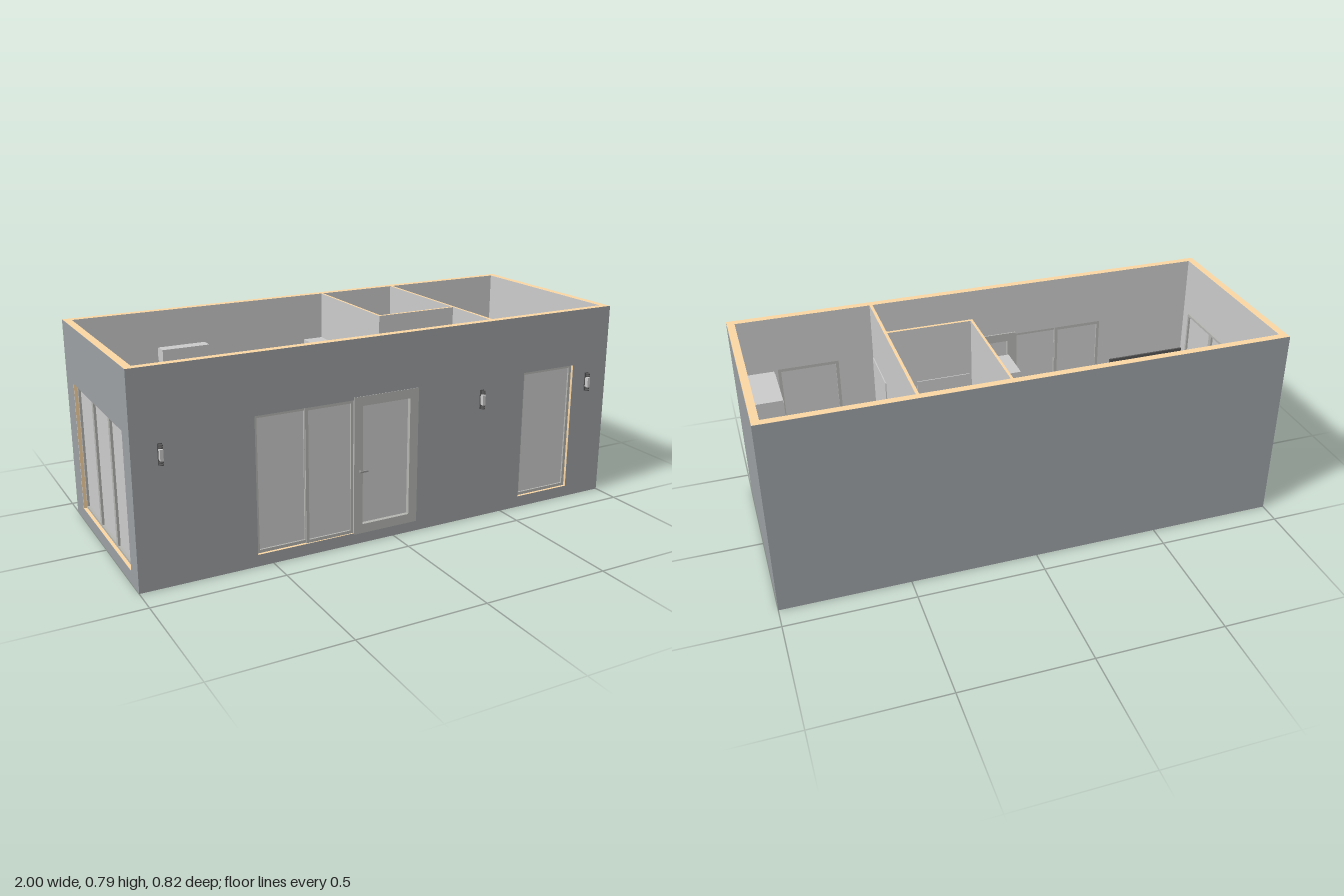
import * as THREE from 'three';
import { RoundedBoxGeometry } from 'three/addons/geometries/RoundedBoxGeometry.js';

const mat = (color, side = THREE.FrontSide) => new THREE.MeshStandardMaterial({ color, side });
const grey = mat(0xcccccc), dark = mat(0x979797), cladding = mat(0x9ca0a3);
const timber = mat(0xfbd7a4), flooring = mat(0xe6d1b4), frameGrey = mat(0xb5b6b2), black = mat(0x555555);
const FLOOR = 0.04, TOP = 0.79;

function add(parent, name, geo, m = grey, x = 0, y = 0, z = 0) {
  const mesh = new THREE.Mesh(geo, m);
  mesh.name = name;
  mesh.position.set(x, y, z);
  parent.add(mesh);
  return mesh;
}

function group(parent, name) {
  const g = new THREE.Group();
  g.name = name;
  parent.add(g);
  return g;
}

// Box given by its limits; r > 0 rounds the edges
function box(parent, name, [x0, x1], [y0, y1], [z0, z1], m = grey, r = 0) {
  const s = [x1 - x0, y1 - y0, z1 - z0];
  const geo = r ? new RoundedBoxGeometry(...s, 3, r) : new THREE.BoxGeometry(...s);
  return add(parent, name, geo, m, (x0 + x1) / 2, (y0 + y1) / 2, (z0 + z1) / 2);
}

function rectShape(x0, x1, y0, y1, holes = []) {
  const loop = (P, a, b, c, d) => new P([[a, c], [b, c], [b, d], [a, d]].map(p => new THREE.Vector2(...p)));
  const s = loop(THREE.Shape, x0, x1, y0, y1);
  s.holes = holes.map(h => loop(THREE.Path, ...h));
  return s;
}

const extrude = (shape, depth) => new THREE.ExtrudeGeometry(shape, { depth, bevelEnabled: false, curveSegments: 16 });

// Outer wall: timber core with grey lining and a cladding skin on local +z
function wall(parent, name, width, coreWidth, holes, x, z, turn) {
  const g = group(parent, name);
  const core = rectShape(-coreWidth / 2, coreWidth / 2, 0, TOP, holes);
  add(g, 'wallCore', extrude(core, 0.029), [grey, timber], 0, 0, -0.03);
  add(g, 'wallCladding', new THREE.ShapeGeometry(rectShape(-width / 2, width / 2, 0, TOP, holes)), cladding);
  g.position.set(x, 0, z);
  g.rotation.y = turn;
  return g;
}

// Framed pane in the local xy plane
function glazing(parent, name, [x0, x1, y0, y1], border, z0, z1) {
  const g = group(parent, name);
  const inner = [x0 + border, x1 - border, y0 + border, y1 - border];
  add(g, 'frame', extrude(rectShape(x0, x1, y0, y1, [inner]), z1 - z0), frameGrey, 0, 0, z0);
  const mid = (z0 + z1) / 2;
  box(g, 'pane', inner.slice(0, 2), inner.slice(2), [mid - 0.002, mid + 0.002]);
}

// Lever handle on a door facing local +z
function lever(parent, x, y, z, dir, out = 1) {
  const g = group(parent, 'doorHandle');
  g.position.set(x, y, z);
  g.scale.set(dir, 1, out);
  box(g, 'stem', [-0.003, 0.003], [-0.003, 0.003], [0, 0.014], dark);
  box(g, 'grip', [-0.003, 0.03], [-0.003, 0.003], [0.01, 0.014], dark);
}

function buildShell(root) {
  const s = group(root, 'shell');
  const entry = [-0.56, 0.1, 0.045, 0.565], side = [0.585, 0.83, 0.045, 0.565], end = [-0.3, 0.32, 0.05, 0.56];
  const front = wall(s, 'frontWall', 2, 1.998, [entry, side], 0, 0.39, 0);
  wall(s, 'backWall', 2, 1.998, [], 0, -0.41, Math.PI);
  wall(s, 'rightWall', 0.8, 0.74, [], 1, -0.01, Math.PI / 2);
  const left = wall(s, 'leftWall', 0.8, 0.74, [end], -1, -0.01, -Math.PI / 2);
  box(s, 'floorSlab', [-0.97, 0.97], [0.004, 0.032], [-0.38, 0.36], cladding);
  box(s, 'floorBoards', [-0.97, 0.97], [0.032, FLOOR], [-0.38, 0.36], flooring);

  // Windows and entrance door
  glazing(front, 'window', [-0.56, -0.355, 0.045, 0.565], 0.012, -0.03, -0.012);
  glazing(front, 'window', [-0.365, -0.17, 0.045, 0.565], 0.012, -0.024, -0.006);
  glazing(front, 'bedroomWindow', side, 0.012, -0.03, -0.012);
  for (let i = 0; i < 3; i++) {
    const w = 0.62 / 3, a = -0.3 + i * w;
    glazing(left, 'endWindow', [a, a + w, 0.05, 0.56], 0.01, -0.036, -0.014);
  }
  glazing(front, 'entranceDoor', [-0.172, 0.1, 0.04, 0.575], 0.036, -0.036, 0.002);
  lever(front, -0.15, 0.29, 0.002, 1);
  lever(front, -0.15, 0.29, -0.036, 1, -1);

  // Wall lamps
  for (const x of [-0.9, 0.385, 0.9]) {
    const lamp = group(front, 'wallLamp');
    lamp.position.set(x, 0.488, 0);
    box(lamp, 'backPlate', [-0.008, 0.008], [-0.038, 0.038], [0, 0.004], black);
    box(lamp, 'lampBody', [-0.006, 0.006], [-0.02, 0.02], [0.003, 0.02], grey);
    for (const y of [-0.034, -0.026, 0.026, 0.034]) add(lamp, 'lampRing', new THREE.CylinderGeometry(0.008, 0.008, 0.004, 16), black, 0, y, 0.012);
  }
}

function buildPartitions(root) {
  const p = group(root, 'partitions');
  const m = [grey, grey, timber, timber, grey, grey];
  box(p, 'kitchenPartition', [0.09, 0.1], [FLOOR, TOP], [-0.38, 0.112], m);
  box(p, 'bathroomPartition', [0.1, 0.43], [FLOOR, TOP], [0.1, 0.112], m);
  box(p, 'bedroomPartition', [0.43, 0.442], [FLOOR, TOP], [-0.38, 0.36], m);
  box(p, 'bathroomDoor', [0.11, 0.325], [FLOOR, 0.56], [0.096, 0.116]);
  box(p, 'bedroomDoor', [0.426, 0.446], [FLOOR, 0.56], [0.125, 0.35]);
  lever(p, 0.3, 0.29, 0.116, -1);
  lever(p, 0.3, 0.29, 0.096, -1, -1);
  const turned = group(p, 'bedroomDoorHandles');
  turned.position.set(0.436, 0, 0.15);
  turned.rotation.y = -Math.PI / 2;
  lever(turned, 0, 0.29, 0.01, 1);
  lever(turned, 0, 0.29, -0.01, 1, -1);
}

function buildLiving(root) {
  const sofa = group(root, 'sofa');
  box(sofa, 'sofaBase', [-0.955, -0.515], [FLOOR + 0.015, 0.1], [-0.375, -0.15]);
  box(sofa, 'sofaBack', [-0.94, -0.53], [0.09, 0.24], [-0.378, -0.345], grey, 0.01);
  for (const x of [-0.96, -0.54]) box(sofa, 'armrest', [x, x + 0.028], [FLOOR, 0.19], [-0.378, -0.16], grey, 0.008);
  for (const x of [-0.932, -0.736]) {
    box(sofa, 'seatCushion', [x, x + 0.195], [0.1, 0.145], [-0.31, -0.14], grey, 0.01);
    box(sofa, 'backCushion', [x, x + 0.195], [0.14, 0.25], [-0.35, -0.305], grey, 0.012);
  }

  // Air conditioner with a sloping lower front
  const ac = new THREE.Shape([[0, 0], [0.035, 0], [0.06, 0.025], [0.06, 0.065], [0.05, 0.075], [0, 0.075]].map(p => new THREE.Vector2(...p)));
  add(root, 'airConditioner', extrude(ac, 0.195), grey, -0.64, 0.57, -0.38).rotation.y = -Math.PI / 2;
  root.children.at(-1).scale.x = 1;
  const unit = root.children.at(-1);
  unit.geometry.scale(1, 1, 1).rotateY(Math.PI).translate(0.06, 0, 0);
  unit.position.set(-0.64, 0.57, -0.38);

  const table = group(root, 'coffeeTable');
  box(table, 'tableTop', [-0.905, -0.605], [0.135, 0.15], [-0.06, 0.125]);
  for (const x of [-0.9, -0.625]) for (const z of [-0.055, 0.105]) box(table, 'tableLeg', [x, x + 0.015], [FLOOR, 0.135], [z, z + 0.015]);

  const tv = group(root, 'television');
  box(tv, 'mediaCabinet', [-0.955, -0.6], [FLOOR, 0.16], [0.23, 0.355], dark);
  for (const x of [-0.95, -0.775]) box(tv, 'cabinetDoor', [x, x + 0.17], [0.05, 0.15], [0.227, 0.23], dark);
  box(tv, 'screen', [-0.955, -0.605], [0.185, 0.385], [0.322, 0.33], black);
  box(tv, 'screenStand', [-0.8, -0.76], [0.165, 0.2], [0.32, 0.332], black);
  box(tv, 'screenFoot', [-0.84, -0.72], [0.16, 0.166], [0.305, 0.345], black);
}

function buildKitchen(root) {
  const k = group(root, 'kitchen');
  box(k, 'baseCabinet', [-0.052, 0.09], [FLOOR, 0.245], [-0.38, -0.03]);
  box(k, 'countertop', [-0.06, 0.09], [0.245, 0.26], [-0.38, -0.03], dark);
  box(k, 'wallCabinet', [0.005, 0.09], [0.42, 0.6], [-0.38, -0.03]);
  box(k, 'tallCabinet', [-0.062, 0.09], [FLOOR, 0.605], [-0.03, 0.12]);
  for (let i = 0; i < 4; i++) {
    const z = -0.336 + i * 0.087;
    box(k, 'cabinetDoor', [-0.055, -0.05], [0.055, 0.235], [z - 0.041, z + 0.041]);
    const handle = add(k, 'cabinetHandle', new THREE.TorusGeometry(0.014, 0.002, 6, 12, Math.PI), dark, -0.054, 0.21, z);
    handle.rotation.set(Math.PI / 2, 0, Math.PI / 2);
  }
}

function buildBathroom(root) {
  const b = group(root, 'bathroom');
  // Quarter-round shower: tray, rim and curved screen
  const quarter = r => {
    const s = new THREE.Shape();
    s.moveTo(0, 0);
    s.lineTo(r, 0);
    s.absarc(0, 0, r, 0, Math.PI / 2, false);
    return s;
  };
  const shower = group(b, 'shower');
  shower.position.set(0.43, FLOOR, -0.38);
  const tray = extrude(quarter(0.195), 0.02).rotateX(Math.PI / 2).translate(0, 0.02, 0).rotateY(-Math.PI / 2);
  add(shower, 'showerTray', tray);
  const arc = r => new THREE.CylinderGeometry(r, r, 0.47, 24, 1, true, -Math.PI / 2, Math.PI / 2);
  add(shower, 'showerScreen', arc(0.192), mat(0xcccccc, THREE.DoubleSide), 0, 0.25, 0);
  for (const y of [0.025, 0.485]) {
    const rim = add(shower, 'showerRim', new THREE.TorusGeometry(0.19, 0.006, 8, 24, Math.PI / 2), grey, 0, y, 0);
    rim.rotation.set(Math.PI / 2, 0, Math.PI / 2);
  }

  const toilet = group(b, 'toilet');
  box(toilet, 'cistern', [0.38, 0.43], [FLOOR, 0.24], [-0.16, -0.055], grey, 0.006);
  const lathe = pts => new THREE.LatheGeometry(pts.map(p => new THREE.Vector2(...p)), 28);
  const bowl = add(toilet, 'toiletBowl', lathe([[0, 0], [0.028, 0], [0.026, 0.04], [0.044, 0.09], [0.044, 0.105], [0, 0.108]]), grey, 0.317, FLOOR, -0.107);
  bowl.scale.x = 1.5;

  const sink = group(b, 'washbasin');
  sink.position.set(0.39, FLOOR, 0.03);
  add(sink, 'basin', lathe([[0, 0], [0.02, 0], [0.016, 0.13], [0.05, 0.18], [0.05, 0.195], [0.043, 0.195], [0.03, 0.17], [0, 0.165]]));
  const tap = new THREE.CatmullRomCurve3([[0.032, 0.18, 0], [0.032, 0.23, 0], [0.02, 0.24, 0], [0.005, 0.225, 0]].map(p => new THREE.Vector3(...p)));
  add(sink, 'tap', new THREE.TubeGeometry(tap, 12, 0.004, 8), dark);
  box(b, 'mirrorCabinet', [0.395, 0.43], [0.4, 0.565], [-0.015, 0.098]);
}

function buildBedroom(root) {
  const bed = group(root, 'bed');
  box(bed, 'bedFrame', [0.57, 0.968], [0.055, 0.11], [-0.375, 0.115]);
  box(bed, 'headboard', [0.58, 0.96], [FLOOR, 0.27], [-0.378, -0.345], grey, 0.008);
  box(bed, 'mattress', [0.58, 0.958], [0.105, 0.155], [-0.345, 0.1], grey, 0.012);
  box(bed, 'blanket', [0.575, 0.963], [0.11, 0.163], [-0.2, 0.09], grey, 0.01);
  for (const x of [0.615, 0.778]) box(bed, 'pillow', [x, x + 0.142], [0.15, 0.185], [-0.34, -0.215], grey, 0.016);
  for (const x of [0.575, 0.945]) for (const z of [-0.37, 0.09]) box(bed, 'bedLeg', [x, x + 0.02], [FLOOR, 0.06], [z, z + 0.02]);
  box(root, 'nightstand', [0.457, 0.566], [FLOOR, 0.15], [-0.38, -0.3], dark);

  const robe = group(root, 'wardrobe');
  box(robe, 'wardrobeBody', [0.845, 0.97], [FLOOR, 0.56], [0.12, 0.36]);
  for (const z of [0.124, 0.242]) box(robe, 'wardrobeDoor', [0.842, 0.846], [0.055, 0.55], [z, z + 0.114]);
  for (const z of [0.22, 0.255]) box(robe, 'wardrobeHandle', [0.83, 0.842], [0.25, 0.33], [z, z + 0.005], dark);
}

export function createModel() {
  const root = new THREE.Group();
  root.name = 'cabinHouse';
  for (const build of [buildShell, buildPartitions, buildLiving, buildKitchen, buildBathroom, buildBedroom]) build(root);
  return root;
}
